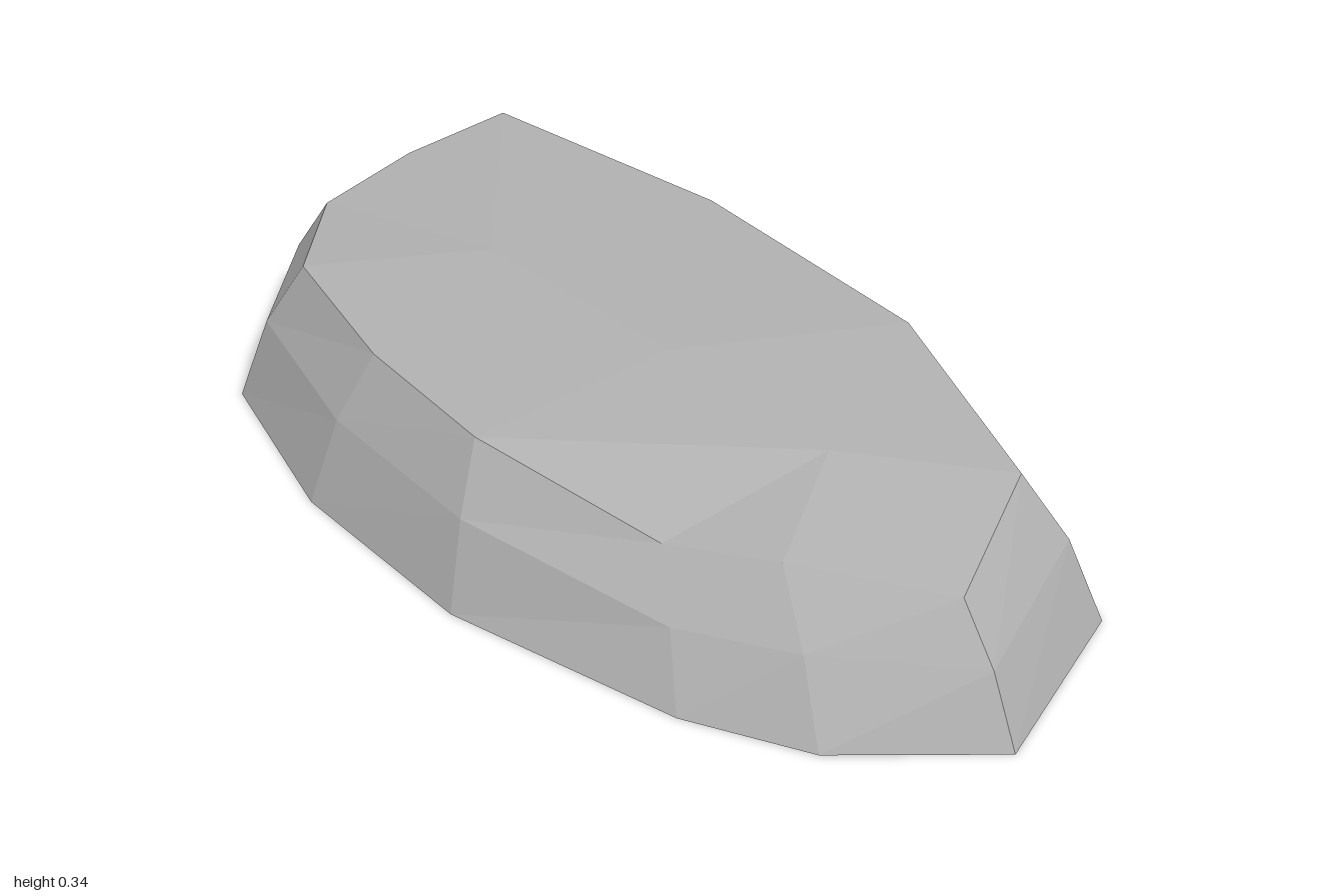
import * as THREE from 'three';

// Footprint corners [x, z], running clockwise from the back right
const BASE = [
  [-0.96, -0.485], [-0.31, -0.545], [0.36, -0.5], [0.89, -0.285],
  [1, 0.105], [0.76, 0.345], [0.52, 0.45], [0.03, 0.54],
  [-0.41, 0.505], [-0.785, 0.375], [-0.98, 0.115], [-1, -0.2],
];
// Upper rim corners [x, y, z], matching the footprint
const RIM = [
  [-0.82, 0.325, -0.395], [-0.25, 0.335, -0.44], [0.31, 0.327, -0.395], [0.74, 0.305, -0.2],
  [0.84, 0.24, 0.075], [0.57, 0.258, 0.24], [0.36, 0.23, 0.325], [-0.03, 0.305, 0.41],
  [-0.355, 0.308, 0.37], [-0.67, 0.318, 0.28], [-0.83, 0.308, 0.085], [-0.85, 0.315, -0.155],
];
// Ridge along the crown, and the ridge point each rim edge joins
const RIDGE = [[-0.43, 0.338, 0], [0.06, 0.338, 0], [0.46, 0.315, 0]];
const RIDGE_OF_EDGE = [0, 1, 2, 2, 2, 2, 2, 1, 0, 0, 0, 0];

function facetedMesh(name, triangles, material) {
  const geometry = new THREE.BufferGeometry();
  geometry.setAttribute('position', new THREE.Float32BufferAttribute(triangles.flat(2), 3));
  geometry.computeVertexNormals();
  const mesh = new THREE.Mesh(geometry, material);
  mesh.name = name;
  return mesh;
}

export function createModel() {
  const stone = new THREE.MeshStandardMaterial({ color: 0xb0b0b0 });
  const n = BASE.length;
  const base = BASE.map(([x, z]) => [x, 0, z]);
  // Shoulder ring bulges slightly outside the straight slope
  const shoulder = base.map((b, i) => [
    THREE.MathUtils.lerp(b[0], RIM[i][0], 0.44),
    RIM[i][1] * 0.575,
    THREE.MathUtils.lerp(b[2], RIM[i][2], 0.44),
  ]);

  const sides = [], crown = [], underside = [];
  for (let i = 0; i < n; i++) {
    const j = (i + 1) % n;
    // Sloping flanks
    for (const [low, high] of [[base, shoulder], [shoulder, RIM]]) {
      sides.push([low[j], low[i], high[i]], [low[j], high[i], high[j]]);
    }
    // Crown facets up to the ridge
    crown.push([RIDGE[RIDGE_OF_EDGE[i]], RIM[j], RIM[i]]);
    // Flat underside
    underside.push([[0, 0, 0], base[i], base[j]]);
  }
  // Crown facets between neighbouring ridge points
  for (const [a, back, front] of [[0, 1, 8], [1, 2, 7]]) {
    crown.push([RIDGE[a], RIDGE[a + 1], RIM[back]], [RIDGE[a + 1], RIDGE[a], RIM[front]]);
  }

  const rock = new THREE.Group();
  rock.name = 'rock';
  rock.add(
    facetedMesh('rockSides', sides, stone),
    facetedMesh('rockCrown', crown, stone),
    facetedMesh('rockUnderside', underside, stone),
  );
  return rock;
}
